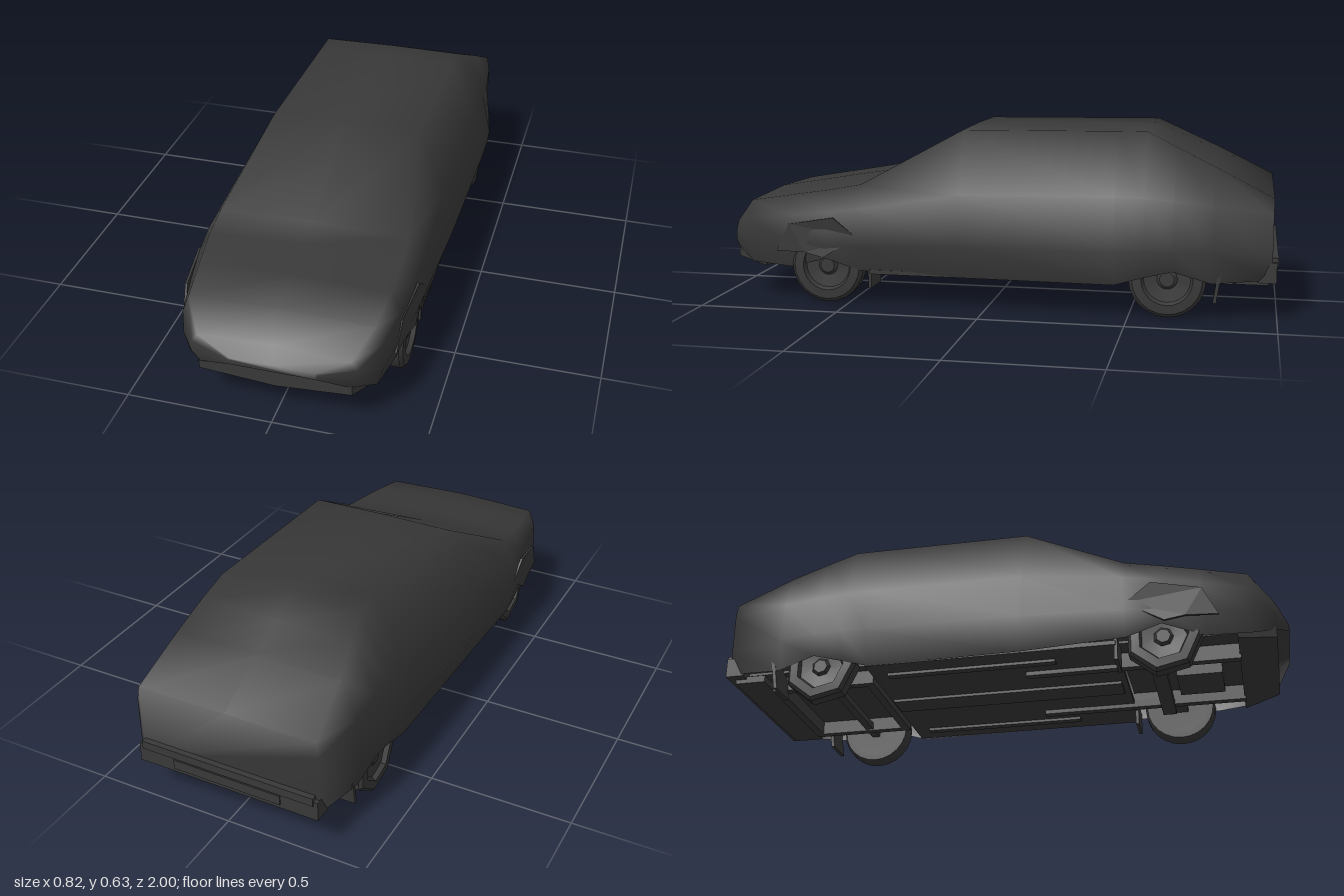
import * as THREE from 'three';
import { toCreasedNormals } from 'three/addons/utils/BufferGeometryUtils.js';

const charcoal = new THREE.MeshStandardMaterial({ color: 0x383838, side: THREE.DoubleSide });
charcoal.name = 'charcoal';

function add(parent, name, geometry, x = 0, y = 0, z = 0) {
  const mesh = new THREE.Mesh(geometry, charcoal);
  mesh.name = name;
  mesh.position.set(x, y, z);
  parent.add(mesh);
  return mesh;
}

// Box given by its limits on each axis
function slab(parent, name, [x0, x1], [y0, y1], [z0, z1]) {
  return add(parent, name, new THREE.BoxGeometry(x1 - x0, y1 - y0, z1 - z0),
    (x0 + x1) / 2, (y0 + y1) / 2, (z0 + z1) / 2);
}

// Extruded outline whose vertices are then moved by a rule
function moulded(points, depth, rule) {
  const shape = new THREE.Shape(points.map(([x, y]) => new THREE.Vector2(x, y)));
  const g = new THREE.ExtrudeGeometry(shape, { depth, bevelEnabled: false });
  const p = g.attributes.position;
  for (let i = 0; i < p.count; i++) p.setXYZ(i, ...rule(p.getX(i), p.getY(i), p.getZ(i)));
  g.computeVertexNormals();
  return g;
}

// Smooth skin through mirrored half sections; every section is { z, dx, half }
function loft(sections) {
  const pos = [], index = [];
  for (const { z, dx, half } of sections) {
    const mirrored = half.slice(0, -1).reverse().map(([x, y]) => [-x, y]);
    for (const [x, y] of [...half, ...mirrored]) pos.push(x + dx, y, z);
  }
  const n = sections[0].half.length * 2 - 1, last = (sections.length - 1) * n;
  for (let i = 0; i < sections.length - 1; i++)
    for (let j = 0; j < n - 1; j++) {
      const a = i * n + j, c = a + n;
      index.push(a, c, a + 1, a + 1, c, c + 1);
    }
  for (let j = 1; j < n - 1; j++) index.push(0, j, j + 1, last, last + j + 1, last + j);
  const g = new THREE.BufferGeometry();
  g.setAttribute('position', new THREE.Float32BufferAttribute(pos, 3));
  g.setIndex(index);
  g.computeVertexNormals();
  return g;
}

// Tyre and dished rim turned around the axle; y of the profile points outward
function wheel(parent, name, side, z, segments) {
  const group = new THREE.Group();
  group.name = name;
  const r = 0.132;
  const profile = [[0, -0.03], [0.1, -0.034], [r - 0.008, -0.034], [r, -0.022], [r, 0.02],
    [r - 0.012, 0.032], [0.088, 0.034], [0.08, 0.018], [0.035, 0.014], [0.025, 0.024], [0, 0.024]];
  let g = new THREE.LatheGeometry(profile.map(([a, b]) => new THREE.Vector2(a, b)), segments);
  g = toCreasedNormals(g, segments < 12 ? 0.1 : 0.6);
  g.rotateZ(-side * Math.PI / 2);
  add(group, 'tyreAndRim', g);
  group.position.set(side * 0.328, r, z);
  parent.add(group);
}

export function createModel() {
  const car = new THREE.Group();
  car.name = 'car';

  // Body shell, nose to tail: sill, belt, shoulder, roof edge, centre line
  const S = (z, dx, ...half) => ({ z, dx, half });
  add(car, 'bodyShell', loft([
    S(1, 0.01, [0.14, 0.212], [0.15, 0.218], [0.15, 0.23], [0.14, 0.236], [0, 0.238]),
    S(0.955, 0, [0.25, 0.165], [0.28, 0.2], [0.275, 0.24], [0.255, 0.268], [0, 0.28]),
    S(0.875, 0, [0.32, 0.13], [0.338, 0.2], [0.335, 0.29], [0.31, 0.355], [0, 0.365]),
    S(0.72, -0.005, [0.345, 0.12], [0.365, 0.21], [0.36, 0.31], [0.325, 0.38], [0, 0.39]),
    S(0.58, -0.012, [0.378, 0.16], [0.388, 0.21], [0.378, 0.325], [0.335, 0.402], [0, 0.414]),
    S(0.46, -0.015, [0.375, 0.12], [0.397, 0.21], [0.385, 0.34], [0.335, 0.424], [0, 0.432]),
    S(0.1, -0.005, [0.37, 0.11], [0.405, 0.225], [0.368, 0.4], [0.265, 0.62], [0, 0.623]),
    S(-0.45, 0.004, [0.37, 0.11], [0.404, 0.235], [0.362, 0.41], [0.265, 0.627], [0, 0.63]),
    S(-0.55, 0.006, [0.37, 0.14], [0.402, 0.24], [0.362, 0.41], [0.265, 0.628], [0, 0.631]),
    S(-0.65, 0.004, [0.375, 0.165], [0.398, 0.24], [0.363, 0.4], [0.285, 0.58], [0, 0.583]),
    S(-0.78, 0, [0.36, 0.125], [0.378, 0.235], [0.36, 0.385], [0.305, 0.518], [0, 0.521]),
    S(-0.98, 0, [0.328, 0.14], [0.335, 0.22], [0.335, 0.365], [0.325, 0.418], [0, 0.421]),
  ]));

  // Front valance closing the nose below, dipping in the middle
  const valance = [[-0.32, 0.2], [-0.32, 0.115], [0, 0.096], [0.32, 0.115], [0.32, 0.2]];
  add(car, 'frontValance', moulded(valance, 0.13,
    (x, y, z) => (z > 0.06 ? [x * 0.8, y + 0.02, z] : [x, y, z])), 0, 0, 0.825);

  // Rear bumper with its recessed plate panel
  slab(car, 'rearBumper', [-0.335, 0.335], [0.13, 0.2], [-0.995, -0.93]);
  slab(car, 'rearBumperLip', [-0.32, 0.32], [0.185, 0.215], [-1, -0.97]);
  slab(car, 'rearPlatePanel', [-0.2, 0.2], [0.145, 0.18], [-1, -0.99]);
  slab(car, 'rearValance', [-0.3, 0.3], [0.115, 0.14], [-0.97, -0.86]);

  // Floor pans, the front and rear ones set higher
  slab(car, 'frontFloor', [-0.28, 0.28], [0.15, 0.16], [0.42, 0.83]);
  slab(car, 'cabinFloor', [-0.365, 0.365], [0.11, 0.125], [-0.46, 0.42]);
  slab(car, 'rearFloor', [-0.28, 0.28], [0.15, 0.16], [-0.95, -0.46]);

  // Underbody members
  slab(car, 'exhaustTunnel', [-0.05, 0.05], [0.1, 0.112], [-0.45, 0.4]);
  slab(car, 'frontCrossMember', [-0.24, 0.24], [0.082, 0.11], [0.52, 0.57]);
  slab(car, 'engineSump', [-0.09, 0.09], [0.095, 0.155], [0.6, 0.76]);
  slab(car, 'rearAxle', [-0.3, 0.3], [0.105, 0.13], [-0.645, -0.615]);
  slab(car, 'rearSubframeFront', [-0.24, 0.24], [0.1, 0.15], [-0.5, -0.47]);
  slab(car, 'rearSubframeBack', [-0.24, 0.24], [0.1, 0.15], [-0.85, -0.82]);

  for (const side of [1, -1]) {
    const span = (a, b) => (side > 0 ? [a, b] : [-b, -a]);
    slab(car, 'frontRail', span(0.17, 0.2), [0.095, 0.15], [0.08, 0.83]);
    slab(car, 'rearRail', span(0.21, 0.24), [0.1, 0.15], [-0.85, -0.47]);
    slab(car, 'floorRib', span(0.26, 0.29), [0.1, 0.112], [-0.4, 0.2]);
    slab(car, 'suspensionArm', span(0.2, 0.31), [0.11, 0.13], [0.56, 0.61]);

    // Mud flaps hang behind the wheels
    slab(car, 'frontMudFlap', span(0.245, 0.36), [0.058, 0.14], [0.414, 0.426]);
    slab(car, 'rearMudFlap', span(0.245, 0.36), [0.058, 0.16], [-0.804, -0.792]).rotation.x = -0.15;

    // Wheels: finely turned on one side, coarse on the other
    const segments = side > 0 ? 24 : 7;
    wheel(car, 'frontWheel', side, 0.58, segments);
    wheel(car, 'rearWheel', side, -0.63, segments);

    // Front wing panel lying just outside the shell and following its taper
    const wing = [[0.77, 0.18], [0.72, 0.28], [0.55, 0.31], [0.46, 0.24], [0.59, 0.165], [0.66, 0.18]];
    add(car, 'frontWingPanel', moulded(wing, 0.009, (z, y, depth) =>
      [side * (0.388 - Math.max(0, z - 0.58) * 0.12) - 0.01 - depth, y, z]));
  }
  return car;
}
